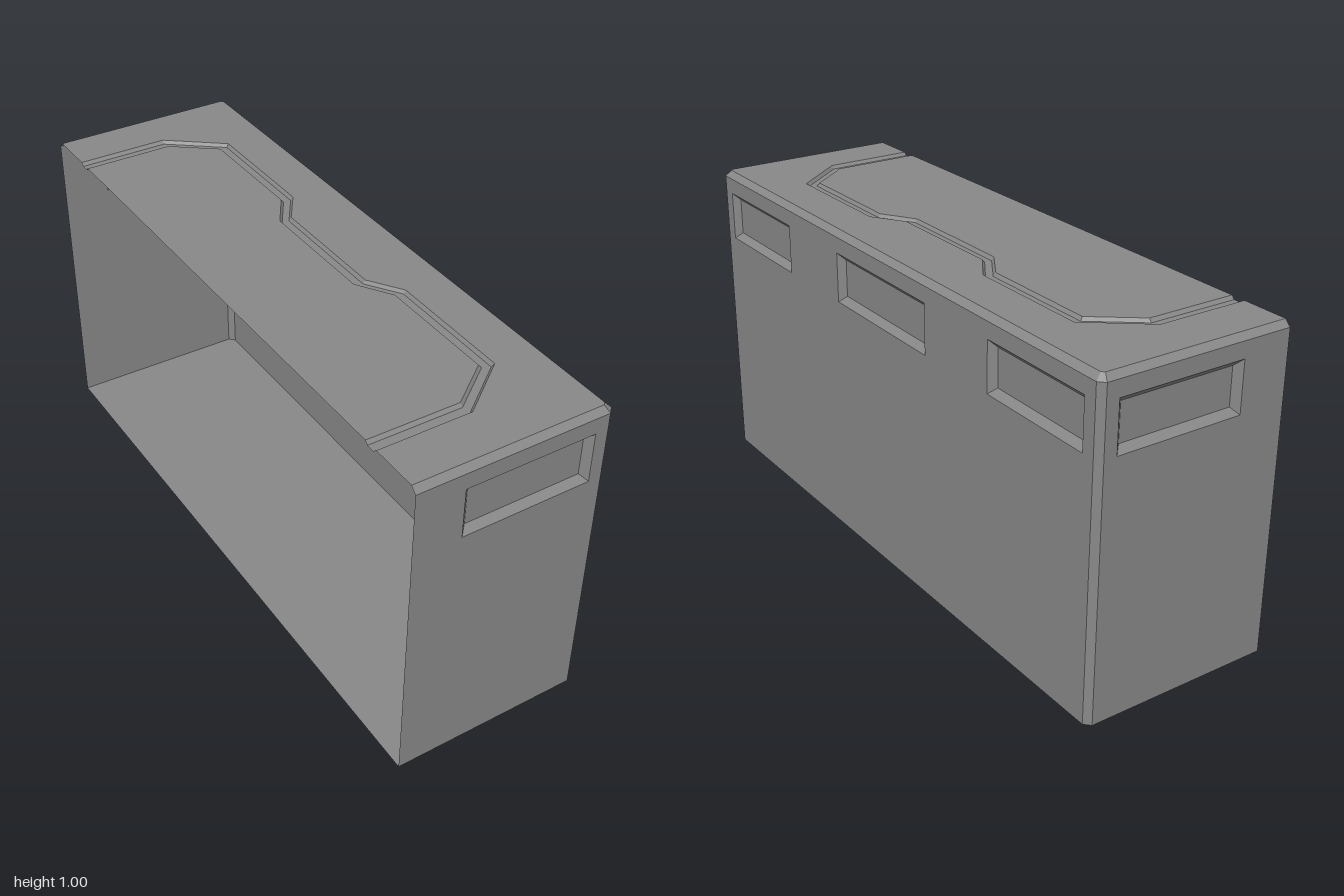
import * as THREE from 'three';

const LEFT = -0.305, RIGHT = 0.303, END = 1, TOP = 1;
const BEVEL = 0.018, RECESS = 0.02, GROOVE = 0.01;
const material = new THREE.MeshStandardMaterial({ color: 0x888888, flatShading: true, side: THREE.DoubleSide });

function part(name, geometry) {
  const mesh = new THREE.Mesh(geometry, material);
  mesh.name = name;
  return mesh;
}

// Flat-faced band of quads between two rows of points
function band(a, b) {
  const pts = [];
  for (let i = 0; i < a.length - 1; i++) {
    pts.push(a[i], a[i + 1], b[i + 1], a[i], b[i + 1], b[i]);
  }
  const geometry = new THREE.BufferGeometry().setFromPoints(pts);
  geometry.computeVertexNormals();
  return geometry;
}

// Plan outlines are lists of [x, z]
const atHeight = (plan, y) => plan.map(([x, z]) => new THREE.Vector3(x, y, z));

function plate(name, plan, y) {
  const shape = new THREE.Shape(plan.map(([x, z]) => new THREE.Vector2(x, -z)));
  const geometry = new THREE.ShapeGeometry(shape);
  geometry.rotateX(-Math.PI / 2);
  geometry.translate(0, y, 0);
  return part(name, geometry);
}

const rect = (u0, u1, v0, v1) => [[u0, v0], [u1, v0], [u1, v1], [u0, v1]].map(([u, v]) => new THREE.Vector2(u, v));

// Upright wall in local XY, with sloped handle recesses sunk along -z
function wall(name, u0, u1, recesses) {
  const group = new THREE.Group();
  group.name = name;
  const shape = new THREE.Shape(rect(u0, u1, 0, TOP - BEVEL));
  for (const [a, b] of recesses) {
    const outer = rect(a, b, 0.777, 0.932);
    const inner = rect(a + 0.02, b - 0.02, 0.797, 0.912);
    shape.holes.push(new THREE.Path(outer));
    const ring = (pts, z) => [...pts, pts[0]].map((p) => new THREE.Vector3(p.x, p.y, z));
    group.add(part('recessRim', band(ring(outer, 0), ring(inner, -RECESS))));
    const back = part('recessBack', new THREE.ShapeGeometry(new THREE.Shape(inner)));
    back.position.z = -RECESS;
    group.add(back);
  }
  group.add(part('wallPanel', new THREE.ShapeGeometry(shape)));
  return group;
}

// Completes a plan path from its front half by mirroring in z
const mirrored = (half) => [...half, ...half.slice().reverse().map(([x, z]) => [x, -z])];

export function createModel() {
  const model = new THREE.Group();
  model.name = 'halfCrate';
  const rIn = RIGHT - BEVEL, eIn = END - BEVEL;

  // Walls
  const front = wall('frontWall', LEFT, rIn, [[-0.155, 0.245]]);
  front.position.z = END;
  const back = wall('backWall', -rIn, -LEFT, [[-0.245, 0.155]]);
  back.rotation.y = Math.PI;
  back.position.z = -END;
  const side = wall('sideWall', -eIn, eIn, [[-0.94, -0.54], [-0.24, 0.24], [0.54, 0.94]]);
  side.rotation.y = Math.PI / 2;
  side.position.x = RIGHT;
  model.add(front, back, side);

  // Floor and chamfered edges
  const outline = mirrored([[LEFT, END], [rIn, END], [RIGHT, eIn]]);
  const rim = mirrored([[LEFT, eIn], [rIn - 0.008, eIn], [rIn, eIn - 0.008]]);
  model.add(plate('floor', outline, 0));
  model.add(part('topChamfer', band(atHeight(outline, TOP - BEVEL), atHeight(rim, TOP))));
  for (const i of [1, 3]) {
    const edge = outline.slice(i, i + 2);
    model.add(part('cornerChamfer', band(atHeight(edge, 0), atHeight(edge, TOP - BEVEL))));
  }

  // Lid: border, raised centre and the groove between them
  const outer = mirrored([[LEFT, 0.834], [-0.018, 0.834], [0.151, 0.702], [0.151, 0.3], [0.084, 0.2]]);
  const inner = mirrored([[LEFT, 0.788], [-0.022, 0.788], [0.112, 0.685], [0.112, 0.305], [0.045, 0.2]]);
  const between = (t) => outer.map(([x, z], i) => [x + (inner[i][0] - x) * t, z + (inner[i][1] - z) * t]);
  model.add(plate('lidBorder', [...rim, ...outer.slice().reverse()], TOP));
  model.add(plate('lidCentre', inner, TOP));
  const steps = [[outer, TOP], [between(0.2), TOP - GROOVE], [between(0.8), TOP - GROOVE], [inner, TOP]];
  for (let i = 0; i < 3; i++) {
    model.add(part('lidGroove', band(atHeight(...steps[i]), atHeight(...steps[i + 1]))));
  }
  return model;
}
